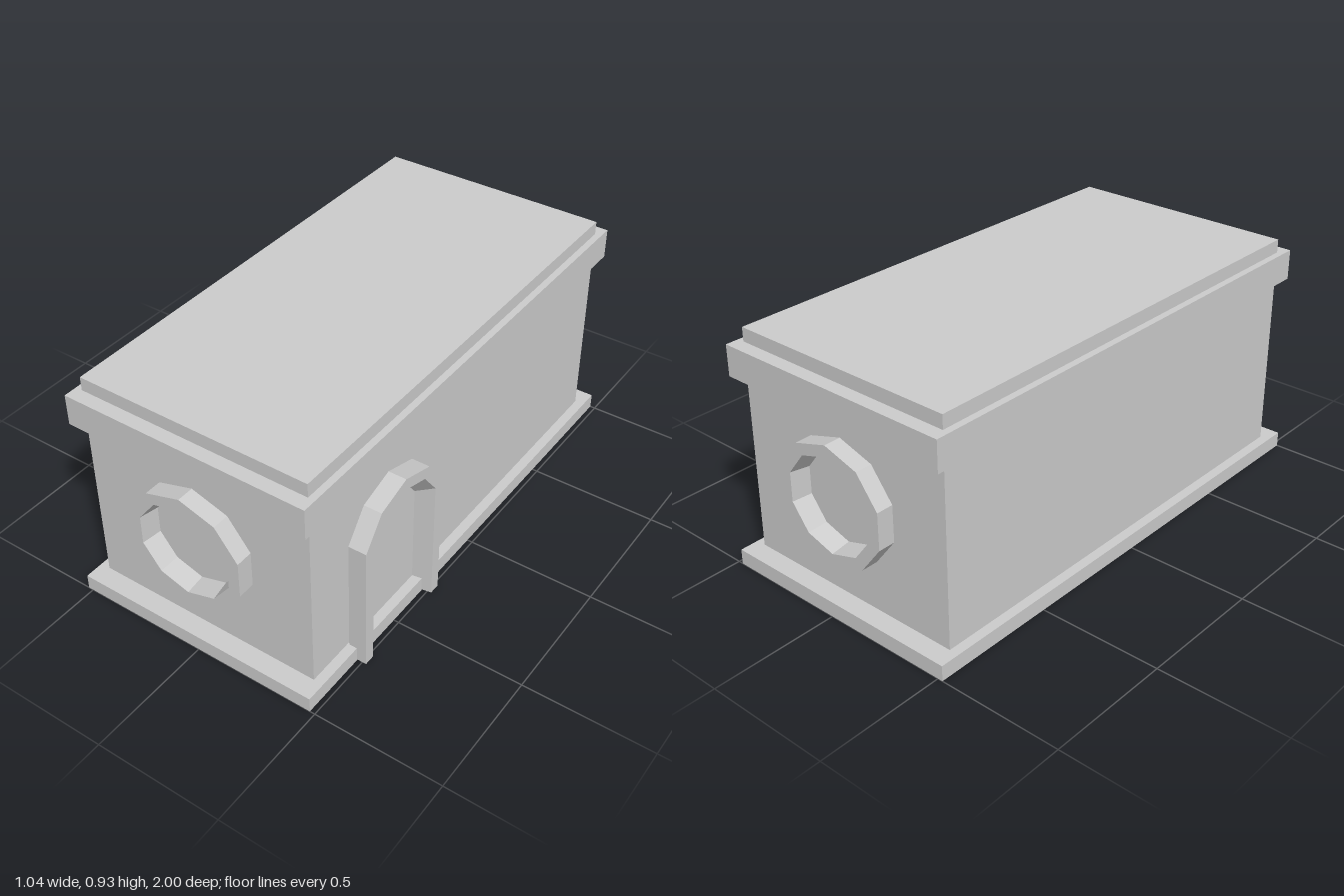
import * as THREE from 'three';

const material = new THREE.MeshStandardMaterial({ color: 0xcccccc, flatShading: true });

// Box given by its limits on each axis
function slab(name, [x0, x1], [y0, y1], [z0, z1]) {
  const mesh = new THREE.Mesh(new THREE.BoxGeometry(x1 - x0, y1 - y0, z1 - z0), material);
  mesh.position.set((x0 + x1) / 2, (y0 + y1) / 2, (z0 + z1) / 2);
  mesh.name = name;
  return mesh;
}

// Frame swept through four outlines: outer front, inner front, inner back, outer back
function frameGeometry(outlines, closed) {
  const positions = [];
  const quad = (a, b, c, d) => positions.push(...a, ...b, ...c, ...a, ...c, ...d);
  const n = outlines[0].length;
  for (let i = 0; i < (closed ? n : n - 1); i++) {
    const j = (i + 1) % n;
    for (let k = 0; k < 4; k++) {
      const a = outlines[k], b = outlines[(k + 1) % 4];
      quad(a[i], a[j], b[j], b[i]);
    }
  }
  if (!closed) {
    quad(...outlines.map((o) => o[0]));
    quad(...outlines.map((o) => o[n - 1]).reverse());
  }
  const geometry = new THREE.BufferGeometry();
  geometry.setAttribute('position', new THREE.Float32BufferAttribute(positions, 3));
  geometry.computeVertexNormals();
  return geometry;
}

// Ten-sided outline with a corner at the top
function decagon(rx, ry, z, count = 10) {
  return Array.from({ length: count }, (_, i) => {
    const t = ((18 + 36 * i) * Math.PI) / 180;
    return [rx * Math.cos(t), ry * Math.sin(t), z];
  });
}

// Upper half of the decagon on two straight jambs
function archOutline(rx, ry, z, cy, foot) {
  const top = decagon(rx, ry, z, 5).map(([x, y]) => [x, y + cy, z]);
  return [[top[0][0], foot, z], ...top, [top[4][0], foot, z]];
}

export function createModel() {
  const model = new THREE.Group();
  model.name = 'building';

  // Plinth, walls with roof, and cornice
  model.add(
    slab('base', [-0.52, 0.48], [0, 0.06], [-1, 1]),
    slab('walls', [-0.482, 0.442], [0.03, 0.926], [-0.924, 0.924]),
    slab('cornice', [-0.508, 0.468], [0.754, 0.873], [-0.977, 0.977])
  );

  // Round window surrounds on both ends
  const ring = frameGeometry([
    decagon(0.243, 0.23, 0.074),
    decagon(0.195, 0.185, 0.074),
    decagon(0.182, 0.173, 0),
    decagon(0.243, 0.23, 0.008),
  ], true);
  for (const side of [1, -1]) {
    const frame = new THREE.Mesh(ring, material);
    frame.name = side > 0 ? 'frontWindowFrame' : 'backWindowFrame';
    frame.position.set(-0.023, 0.45, side * 0.924);
    if (side < 0) frame.rotation.y = Math.PI;
    model.add(frame);
  }

  // Arched door surround on the left wall
  const door = new THREE.Mesh(frameGeometry([
    archOutline(0.24, 0.23, 0.076, 0.45, 0.005),
    archOutline(0.195, 0.185, 0.076, 0.45, 0.005),
    archOutline(0.182, 0.173, 0, 0.412, 0.005),
    archOutline(0.24, 0.23, 0.006, 0.45, 0.005),
  ], false), material);
  door.name = 'doorFrame';
  door.position.set(0.442, 0, 0.5);
  door.rotation.y = Math.PI / 2;
  model.add(door);

  return model;
}
